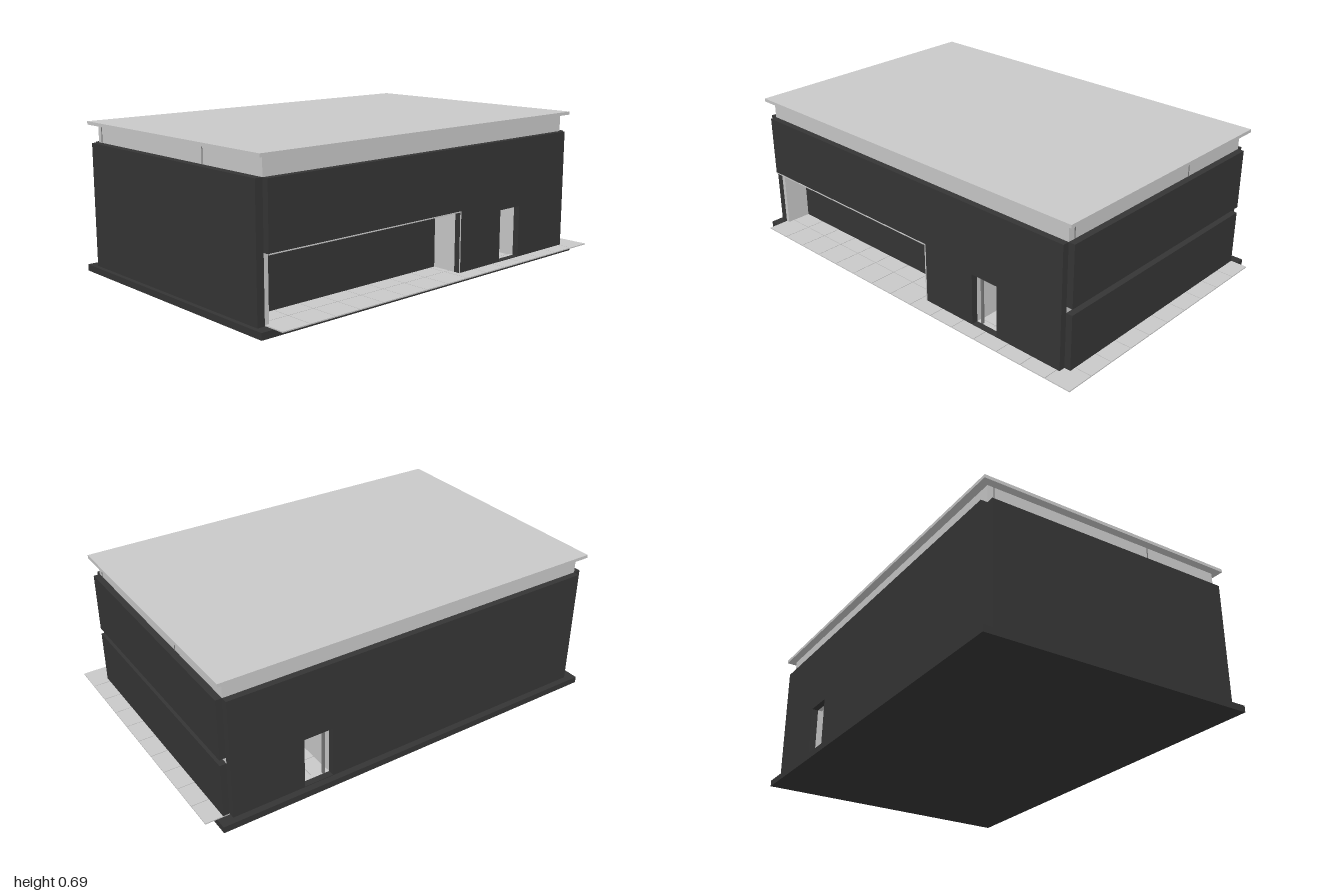
import * as THREE from 'three';

export function createModel() {
  const group = new THREE.Group();
  group.name = 'pavilion';
  const mat = (name, color) => {
    const m = new THREE.MeshStandardMaterial({ color });
    m.name = name;
    return m;
  };
  const dark = mat('dark cladding', 0x353535);
  const light = mat('light concrete', 0xc8c8c8);
  const grey = mat('joint grey', 0x777777);

  // box given by its limits along each axis
  const box = (name, m, x0, x1, y0, y1, z0, z1, parent = group) => {
    const mesh = new THREE.Mesh(new THREE.BoxGeometry(x1 - x0, y1 - y0, z1 - z0), m);
    mesh.position.set((x0 + x1) / 2, (y0 + y1) / 2, (z0 + z1) / 2);
    mesh.name = name;
    parent.add(mesh);
    return mesh;
  };
  const sub = (name) => {
    const g = new THREE.Group();
    g.name = name;
    group.add(g);
    return g;
  };

  // wall in the z-y plane, extruded along x from x0 to x1, from an outline and door hole
  const sideWall = (name, m, x0, x1, outline, hole) => {
    const toPath = (P, pts) => new P(pts.map(([z, y]) => new THREE.Vector2(-z, y)));
    const shape = toPath(THREE.Shape, outline);
    if (hole) shape.holes.push(toPath(THREE.Path, hole));
    const geo = new THREE.ExtrudeGeometry(shape, { depth: x1 - x0, bevelEnabled: false });
    geo.rotateY(Math.PI / 2);
    geo.translate(x0, 0, 0);
    const mesh = new THREE.Mesh(geo, m);
    mesh.name = name;
    group.add(mesh);
  };

  // main limits of the inner shell
  const L = -0.62, R = 0.57, B = -0.89, F = 0.945, floor = 0.035;
  const mid = 0.315, top = 0.6, eave = 0.68, bayEnd = -0.13;

  // foundation slab
  box('foundation', dark, -0.675, 0.62, 0, 0.03, -0.947, 1.0);

  // paving: square tiles with narrow joints
  const paving = sub('paving');
  const cuts = (start, first, end) => {
    const a = [start];
    for (let v = first; v < end - 0.01; v += 0.1295) a.push(v);
    return [...a, end];
  };
  const xs = cuts(L, -0.495, 0.675), zs = cuts(-1, -0.875, F);
  for (let i = 0; i < xs.length - 1; i++)
    for (let j = 0; j < zs.length - 1; j++)
      box('tile', light, xs[i], xs[i + 1] - 0.003, 0.03, floor, zs[j], zs[j + 1] - 0.003, paving);

  // light inner shell, rising above the cladding as a band
  const door = [[-0.41, floor], [-0.55, floor], [-0.55, 0.28], [-0.41, 0.28]];
  const full = (y) => [[F, floor], [B, floor], [B, y], [F, y]];
  const withBay = (y) => [[bayEnd, floor], [B, floor], [B, y], [F, y], [F, mid], [bayEnd, mid]];
  // a doorway reaching almost to the floor
  const doorHole = door.map(([z, y]) => [z, Math.max(y, floor + 0.003)]);
  sideWall('innerWallWest', light, L, L + 0.02, full(eave), doorHole);
  sideWall('innerWallEast', light, R - 0.02, R, withBay(eave), doorHole);
  box('innerWallFront', light, L + 0.02, R - 0.02, floor, eave, F - 0.02, F);
  box('innerWallFrontEnd', light, R - 0.02, R, floor, mid, F - 0.02, F);
  box('innerWallBack', light, L + 0.02, R - 0.02, floor, eave, B, B + 0.02);

  // dark outer cladding, leaving notched corners
  sideWall('claddingWest', dark, L - 0.03, L, full(top), doorHole);
  sideWall('claddingEast', dark, R, R + 0.03, withBay(top), doorHole);
  box('claddingFront', dark, L, R, 0.03, top, F, F + 0.035);
  box('claddingBackLower', dark, L, R, floor, 0.29, B - 0.03, B);
  box('claddingBackUpper', dark, L, R, 0.318, top, B - 0.03, B);

  // open side bay: dark inner wall, light end wall and ceiling
  box('bayInnerWall', dark, 0.43, 0.45, floor, mid, bayEnd, F - 0.02);
  box('bayEndWall', light, 0.43, R - 0.02, floor, mid, bayEnd - 0.02, bayEnd);
  box('bayCeiling', light, 0.43, R - 0.02, mid, mid + 0.015, bayEnd - 0.02, F - 0.02);
  box('bayTrimTop', light, R + 0.03, R + 0.032, mid - 0.003, mid + 0.002, bayEnd, F);
  box('bayTrimSide', light, R + 0.03, R + 0.032, floor, mid, bayEnd - 0.003, bayEnd + 0.002);

  // stair passage linking the two doorways
  box('passageWallFront', light, L + 0.02, R - 0.02, floor, mid, -0.41, -0.395);
  box('passageWallBack', light, L + 0.02, R - 0.02, floor, mid, -0.565, -0.55);
  const stair = sub('stair');
  for (let i = 0; i < 13; i++) {
    const x = 0.38 - i * 0.06, y = 0.045 + i * 0.019;
    box('tread', dark, x - 0.06, x, y, y + 0.004, -0.55, -0.44, stair);
  }
  for (const x of [L, R - 0.01])
    box('doorPost', grey, x, x + 0.01, floor, 0.28, -0.442, -0.432);

  // joints in the band under the roof
  for (const x of [-0.59, 0.19]) box('bandJoint', grey, x - 0.002, x + 0.002, top, eave, F, F + 0.002);
  for (const x of [-0.22, 0.535]) box('bandJoint', grey, x - 0.002, x + 0.002, top, eave, B - 0.002, B);

  // overhanging flat roof
  box('roof', light, -0.655, 0.6, eave, 0.695, -0.925, 0.98);

  return group;
}
